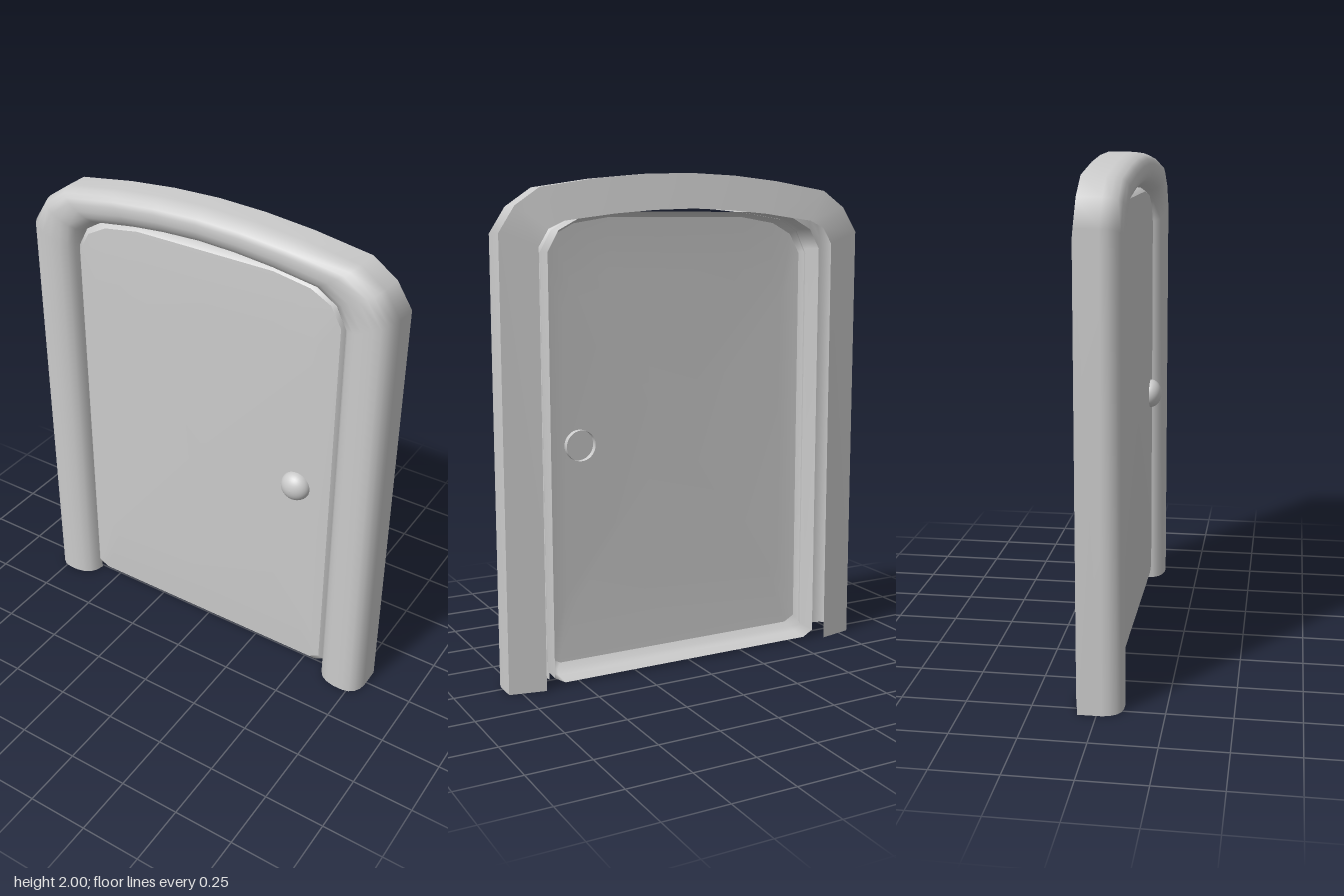
import * as THREE from 'three';

const material = new THREE.MeshStandardMaterial({ color: 0xcccccc, side: THREE.DoubleSide });

// Smooth skin over rows of [x, y, z] points; closed joins the row ends.
function loft(name, rows, closed = false) {
  const n = rows[0].length, index = [];
  for (let j = 0; j < rows.length - 1; j++) {
    for (let i = 0; i < (closed ? n : n - 1); i++) {
      const k = (i + 1) % n;
      const a = j * n + i, b = a + n, c = j * n + k, d = c + n;
      index.push(a, b, c, c, b, d);
    }
  }
  const geometry = new THREE.BufferGeometry();
  geometry.setAttribute('position', new THREE.Float32BufferAttribute(rows.flat(2), 3));
  geometry.setIndex(index);
  geometry.computeVertexNormals();
  const mesh = new THREE.Mesh(geometry, material);
  mesh.name = name;
  return mesh;
}

// Completes an outline across x = 0; a point on the axis is not repeated.
const mirror = (half) => [
  ...half,
  ...half.filter(([x]) => x !== 0).reverse().map(([x, y]) => [-x, y]),
];

// Arch outlines, from the foot at -x up to the crown
const outer = mirror([[-0.8, 0], [-0.8, 1.77], [-0.735, 1.87], [-0.635, 1.938], [-0.4, 1.974], [-0.2, 1.993], [0, 2]]);
const inner = mirror([[-0.6, 0], [-0.6, 1.68], [-0.555, 1.77], [-0.475, 1.82], [-0.3, 1.846], [-0.15, 1.86], [0, 1.866]]);
const backInner = mirror([[-0.655, 0], [-0.655, 1.72], [-0.615, 1.785], [-0.55, 1.815], [-0.34, 1.842], [-0.17, 1.856], [0, 1.862]]);

function frame() {
  const group = new THREE.Group();
  group.name = 'doorFrame';
  // Rounded front: [share of the way from outer to inner edge, z]
  const section = [[0, -0.07], [0, 0.02], [0.03, 0.048], [0.1, 0.072], [0.2, 0.087], [0.34, 0.094],
    [0.55, 0.094], [0.73, 0.086], [0.87, 0.07], [0.96, 0.045], [1, 0.01]];
  const rows = section.map(([t, z]) => outer.map(([x, y], i) => [
    THREE.MathUtils.lerp(x, inner[i][0], t),
    THREE.MathUtils.lerp(y, inner[i][1], t),
    z,
  ]));
  group.add(loft('frameFront', rows));
  // Slanted back band
  group.add(loft('frameBack', [
    backInner.map(([x, y]) => [x, y, -0.1]),
    outer.map(([x, y]) => [x, y, -0.07]),
  ]));
  return group;
}

// Door outline with cut corners: half width, bottom, top
const doorRing = (w, bottom, top, z) => mirror([
  [-w + 0.045, bottom], [-w, bottom + 0.025], [-w, top - 0.15],
  [-w + 0.045, top - 0.07], [-w + 0.13, top - 0.025], [-0.3, top],
]).map(([x, y]) => [x, y, z]);

function door() {
  const group = new THREE.Group();
  group.name = 'door';
  const front = doorRing(0.585, 0.05, 1.83, 0.04);
  // Rim, open at the back
  group.add(loft('doorRim', [
    doorRing(0.61, 0.01, 1.85, -0.075),
    doorRing(0.61, 0.015, 1.85, 0),
    doorRing(0.603, 0.03, 1.845, 0.022),
    front,
  ], true));
  // Slightly domed panel
  const panel = doorRing(0.5, 0.3, 1.62, 0.05);
  group.add(loft('doorPanel', [front, panel, panel.map(() => [0, 0.95, 0.05])], true));
  return group;
}

// Hollow domed knob, its collar showing behind the panel
function knob() {
  const profile = [new THREE.Vector2(0.062, -0.025)];
  for (let i = 0; i <= 10; i++) {
    const a = (i / 10) * Math.PI / 2;
    profile.push(new THREE.Vector2(0.062 * Math.cos(a), 0.05 * Math.sin(a)));
  }
  const mesh = new THREE.Mesh(new THREE.LatheGeometry(profile, 32), material);
  mesh.name = 'doorKnob';
  mesh.rotation.x = Math.PI / 2;
  mesh.position.set(0.44, 0.935, 0.05);
  return mesh;
}

export function createModel() {
  const model = new THREE.Group();
  model.name = 'archedDoor';
  model.add(frame(), door(), knob());
  return model;
}
